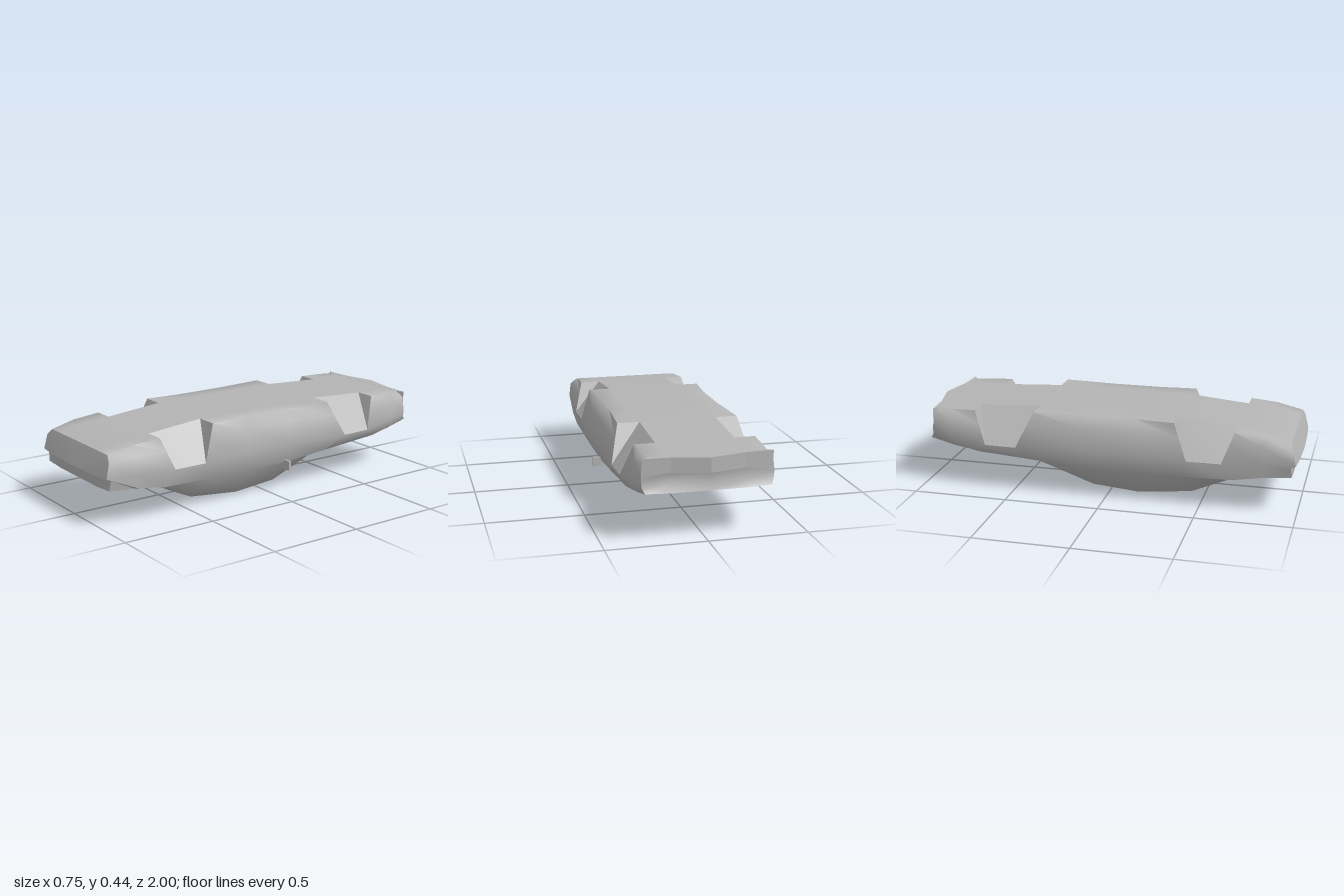
import * as THREE from 'three';
import { toCreasedNormals } from 'three/addons/utils/BufferGeometryUtils.js';

// Overturned car shell: the flat underbody is on top, the cabin roof is at the bottom.
// Stations, nose to tail: z, floor y, floor half width, waist (half width, y, z),
// belt (half width, y), roof edge (half width, y), roof centre y, roof z
const STATIONS = [
  [0.955, 0.37, 0.285, 0.325, 0.262, 0.985, 0.322, 0.25, 0.31, 0.195, 0.187, 0.965],
  [0.82, 0.398, 0.298, 0.337, 0.26, 0.82, 0.332, 0.19, 0.305, 0.18, 0.165, 0.82],
  [0.67, 0.41, 0.305, 0.35, 0.25, 0.61, 0.337, 0.165, 0.305, 0.16, 0.14, 0.66],
  [0.36, 0.438, 0.315, 0.352, 0.25, 0.43, 0.34, 0.162, 0.225, 0.04, 0.03, 0.44],
  [0.16, 0.438, 0.298, 0.36, 0.255, 0.16, 0.342, 0.16, 0.238, 0.015, 0.003, 0.16],
  [-0.12, 0.438, 0.298, 0.364, 0.26, -0.12, 0.342, 0.16, 0.23, 0.033, 0.022, -0.09],
  [-0.39, 0.438, 0.315, 0.365, 0.25, -0.48, 0.342, 0.18, 0.3, 0.168, 0.16, -0.31],
  [-0.72, 0.42, 0.305, 0.36, 0.25, -0.65, 0.34, 0.205, 0.31, 0.19, 0.187, -0.68],
  [-0.85, 0.417, 0.298, 0.342, 0.28, -0.85, 0.332, 0.235, 0.312, 0.22, 0.215, -0.85],
  [-0.94, 0.414, 0.285, 0.326, 0.315, -0.955, 0.322, 0.275, 0.31, 0.25, 0.245, -0.972],
];
const WHEEL_BAYS = [2, 6]; // each bay runs from this station to the next
const INNER = 0.2;

// Half outline at a station, from the floor centre around to the roof centre
function outline([z, fy, fw, ww, wy, wz, bw, by, rw, ry, ry0, rz], i) {
  const atWheel = WHEEL_BAYS.some((b) => i === b || i === b + 1);
  const floorEdge = [fw, fy, z];
  const waist = [ww, wy, wz];
  const shoulder = floorEdge.map((v, k) => v + (waist[k] - v) * 0.4);
  if (!atWheel) { shoulder[0] += 0.018; shoulder[1] += 0.01; }
  return [
    [0, fy, z], [INNER, fy, z], floorEdge, shoulder, waist,
    [bw, by, (z + rz) / 2], [rw, ry, rz], [rw * 0.6, ry0, rz], [0, ry0, rz],
  ];
}

// Collects polygons together with their mirror images
function mirroredMesh() {
  const positions = [];
  const fan = (pts) => {
    for (let i = 1; i < pts.length - 1; i++) positions.push(...pts[0], ...pts[i], ...pts[i + 1]);
  };
  return {
    add(pts, flip = false) {
      const right = flip ? [...pts].reverse() : pts;
      fan(right);
      fan([...right].reverse().map(([x, y, z]) => [-x, y, z]));
    },
    geometry(crease) {
      const g = new THREE.BufferGeometry();
      g.setAttribute('position', new THREE.Float32BufferAttribute(positions, 3));
      return toCreasedNormals(g, crease);
    },
  };
}

// End panel: rows from floor to roof, joined to the outline at its outer edge
function endPanel(ring, rows, flip) {
  const m = mirroredMesh();
  const grid = [
    [ring[0], ring[1], ring[2]],
    ...rows.map(([y, z0, z1], k) => [[0, y, z0], [INNER, y, z1], ring[3 + k]]),
    [ring[8], ring[7], ring[6]],
  ];
  for (let r = 0; r < grid.length - 1; r++) {
    for (let c = 0; c < 2; c++) {
      m.add([grid[r][c], grid[r][c + 1], grid[r + 1][c + 1], grid[r + 1][c]], flip);
    }
  }
  return m.geometry(0.7);
}

export function createModel() {
  const group = new THREE.Group();
  group.name = 'overturnedCarShell';
  const grey = new THREE.MeshStandardMaterial({ color: 0xb4b4b4 });
  grey.name = 'bodyGrey';
  grey.side = THREE.DoubleSide;
  const part = (name, geometry) => {
    const mesh = new THREE.Mesh(geometry, grey);
    mesh.name = name;
    group.add(mesh);
    return mesh;
  };

  const rings = STATIONS.map(outline);

  // Body skin, left open over the wheel bays
  const skin = mirroredMesh();
  const bays = mirroredMesh();
  for (let i = 0; i < rings.length - 1; i++) {
    const a = rings[i], b = rings[i + 1];
    const isBay = WHEEL_BAYS.includes(i);
    for (let j = 0; j < a.length - 1; j++) {
      if (isBay && j >= 1 && j <= 3) continue;
      skin.add([a[j], a[j + 1], b[j + 1], b[j]]);
    }
    // Wheel bay: sloping inner wall and two end walls
    if (isBay) {
      bays.add([a[1], a[4], b[4], b[1]]);
      bays.add(a.slice(1, 5));
      bays.add(b.slice(1, 5), true);
    }
  }
  part('bodyShell', skin.geometry(1.0));
  part('wheelBays', bays.geometry(0.3));

  // Nose with a bulging bumper, tail with a recess under a pointed lip
  part('nosePanel', endPanel(rings[0], [
    [0.32, 0.975, 0.975], [0.256, 0.998, 0.993], [0.248, 0.978, 0.978],
  ], true));
  part('tailPanel', endPanel(
    rings.at(-1).map((p, k) => (k === 0 ? [0, 0.414, -0.95] : p)), [
      [0.34, -0.968, -0.948], [0.335, -0.965, -0.945], [0.28, -0.965, -0.95],
    ], false));

  // Pointed lip over the tail
  const lip = new THREE.Shape([
    new THREE.Vector2(-0.32, 0.953), new THREE.Vector2(-0.285, 0.93),
    new THREE.Vector2(0.285, 0.93), new THREE.Vector2(0.32, 0.953),
    new THREE.Vector2(0.18, 0.96), new THREE.Vector2(0, 1.0), new THREE.Vector2(-0.18, 0.96),
  ]);
  const lipGeometry = new THREE.ExtrudeGeometry(lip, { depth: 0.075, bevelEnabled: false });
  lipGeometry.rotateX(-Math.PI / 2);
  part('tailLip', lipGeometry).position.y = 0.34;

  // Single wing mirror
  part('wingMirror', new THREE.BoxGeometry(0.052, 0.05, 0.015)).position.set(0.36, 0.15, -0.083);

  group.children.forEach((mesh) => { mesh.position.x -= 0.01; });
  return group;
}
